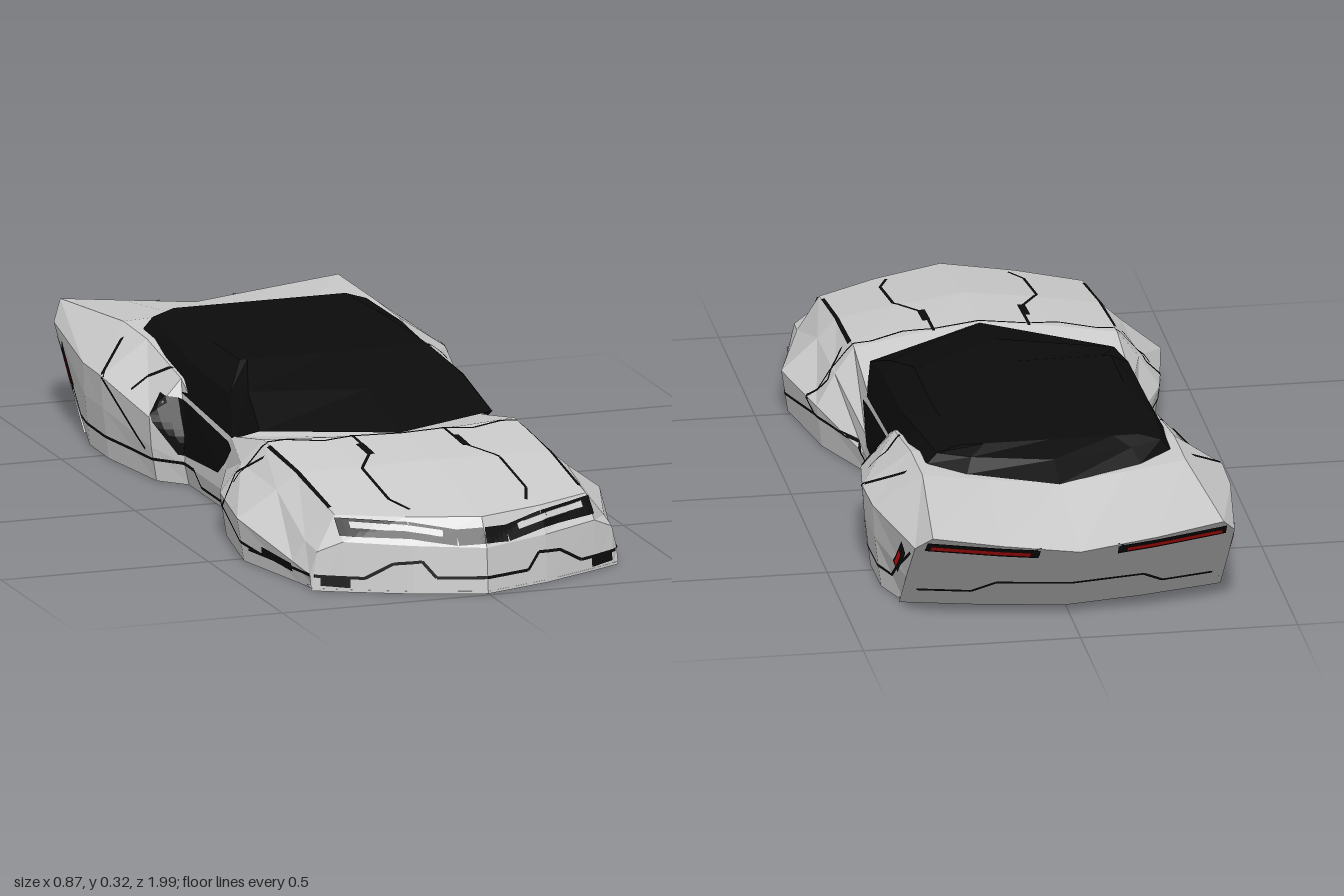
import * as THREE from 'three';

const mat = (color) => new THREE.MeshStandardMaterial({ color, flatShading: true, side: THREE.DoubleSide });
const grey = mat(0xcccccc), black = mat(0x0c0c0c), red = mat(0xcc1111);

// Half row of points, then its mirror image
const mirrorRow = (half) => half.concat(half.slice(0, -1).reverse().map(([x, y, z]) => [-x, y, z]));
const mix = (p, q, t) => p + (q - p) * t;

function meshFrom(name, positions, material, index) {
  const g = new THREE.BufferGeometry();
  g.setAttribute('position', new THREE.Float32BufferAttribute(positions, 3));
  if (index) g.setIndex(index);
  g.computeVertexNormals();
  const mesh = new THREE.Mesh(g, material);
  mesh.name = name;
  return mesh;
}

// Faceted skin stretched over rows of points
function skin(name, halfRows, material) {
  const rows = halfRows.map(mirrorRow), n = rows[0].length, index = [];
  for (let i = 0; i < rows.length - 1; i++)
    for (let j = 0; j < n - 1; j++) {
      const a = i * n + j, c = a + n;
      index.push(a, c, a + 1, a + 1, c, c + 1);
    }
  return meshFrom(name, rows.flat(2), material, index);
}

// One body section, sill to centre; dz sweeps the centre into a V, the tail leans back with height
function section(z, dz, hipX, hipY, shoulderX, shoulderY, crestY, centreY) {
  const tail = z < -0.7, crestX = tail ? 0.335 : 0.303;
  const points = [[hipX * 0.965, 0], [hipX, hipY], [shoulderX, shoulderY], [crestX, crestY],
    [crestX * 0.53, (crestY + centreY) / 2], [0, centreY]];
  return points.map(([x, y]) => [x, y, z + dz * (1 - (x / hipX) ** 1.3) - (tail ? y : 0)]);
}

// Front half: bumper, hood lip, front fender, hood back, door front
const frontRows = [
  section(0.82, 0.16, 0.37, 0.035, 0.355, 0.09, 0.115, 0.105),
  section(0.745, 0.2, 0.385, 0.05, 0.36, 0.1, 0.165, 0.17),
  section(0.515, 0.1, 0.437, 0.1, 0.35, 0.165, 0.205, 0.225),
  section(0.28, 0.12, 0.395, 0.1, 0.35, 0.17, 0.225, 0.235),
  section(0.09, 0.1, 0.316, 0.05, 0.314, 0.1, 0.18, 0.18),
];
// Rear half: door back, rear fender, deck, tail
const rearRows = [
  section(-0.18, 0, 0.316, 0.05, 0.314, 0.1, 0.205, 0.2),
  section(-0.24, 0, 0.375, 0.08, 0.38, 0.15, 0.235, 0.2),
  section(-0.47, 0, 0.41, 0.12, 0.415, 0.195, 0.272, 0.25),
  section(-0.6, -0.1, 0.408, 0.12, 0.412, 0.195, 0.275, 0.263),
  section(-0.71, -0.08, 0.37, 0.1, 0.368, 0.21, 0.25, 0.207),
];
// The nose and tail faces run down to the ground line
const noseRow = frontRows[0].map(([x, , z]) => [x, 0, z + 0.01]);
const tailRow = rearRows[4].map(([x, y, z]) => [x, 0, z + y]);
const bodyRows = [noseRow, ...frontRows, ...rearRows, tailRow];

// Canopy: base outline from front tip to rear tip, drawn in to a flat roof
const canopyBase = [[0, 0.235, 0.395], [0.28, 0.222, 0.23], [0.306, 0.18, 0.12], [0.306, 0.205, -0.23],
  [0.298, 0.25, -0.38], [0.28, 0.274, -0.56], [0.2, 0.27, -0.63], [0, 0.263, -0.71]];
const canopyRoof = canopyBase.map(([x, , z]) => [x * 0.74, 0.315, THREE.MathUtils.clamp(z, -0.56, -0.06)]);
const canopyWaist = canopyBase.map(([x, y, z], i) => [x * 0.92, mix(y, 0.315, 0.6), mix(z, canopyRoof[i][2], 0.5)]);
const canopyTop = canopyBase.map(() => [0, 0.316, -0.3]);

// Details are wrapped on the body along an axis: [where the ray starts, its direction]
const rays = {
  top: (x, z, s) => [[s * x, 2, z], [0, -1, 0]],
  side: (z, y, s) => [[s * 2, y, z], [-s, 0, 0]],
  front: (x, y, s) => [[s * x, y, 2], [0, 0, -1]],
  back: (x, y, s) => [[s * x, y, -2], [0, 0, 1]],
};
const caster = new THREE.Raycaster();
function project(body, view, u, v, s, lift) {
  const [o, d] = rays[view](u, v, s).map((a) => new THREE.Vector3(...a));
  caster.set(o, d);
  const hit = caster.intersectObject(body)[0];
  if (!hit) return null;
  const n = hit.face.normal;
  return hit.point.addScaledVector(n, n.dot(d) > 0 ? -lift : lift).toArray();
}

// Wrapped quad on both sides of the body, from four corners in order
function patch(body, view, lift, [a, b, c, d]) {
  const cells = (p, q) => Math.max(1, Math.ceil(Math.hypot(p[0] - q[0], p[1] - q[1]) / 0.015));
  const nu = cells(a, b), nv = cells(a, d), out = [];
  for (const s of [1, -1]) {
    const at = (i, j) => {
      const [u, v] = [0, 1].map((k) => mix(mix(a[k], b[k], i / nu), mix(d[k], c[k], i / nu), j / nv));
      return project(body, view, u, v, s, lift);
    };
    for (let i = 0; i < nu; i++)
      for (let j = 0; j < nv; j++) {
        const q = [at(i, j), at(i + 1, j), at(i + 1, j + 1), at(i, j + 1)];
        if (q.every(Boolean)) out.push(...[0, 1, 2, 0, 2, 3].flatMap((k) => q[k]));
      }
  }
  return out;
}

// Wrapped band of a given width along a polyline
function band(body, view, width, lift, points) {
  return points.slice(1).flatMap((q, i) => {
    const p = points[i], l = Math.hypot(q[0] - p[0], q[1] - p[1]) / (width / 2);
    const nx = (p[1] - q[1]) / l, ny = (q[0] - p[0]) / l;
    return patch(body, view, lift, [[p[0] + nx, p[1] + ny], [q[0] + nx, q[1] + ny],
      [q[0] - nx, q[1] - ny], [p[0] - nx, p[1] - ny]]);
  });
}

export function createModel() {
  const car = new THREE.Group();
  car.name = 'hoverCar';
  const body = skin('body', bodyRows, grey);
  body.updateMatrixWorld(true);
  car.add(body, skin('canopy', [canopyTop, canopyRoof, canopyWaist, canopyBase], black));

  // Underside: rim, dark channel and inner panel
  const sills = [...frontRows, ...rearRows].map((row) => row[0]);
  const outline = mirrorRow([...noseRow.slice().reverse(), ...sills, ...tailRow]);
  const floor = (name, sx, sz, y, material) => {
    const shape = new THREE.Shape(outline.map(([x, , z]) => new THREE.Vector2(x * sx, z * sz)));
    const mesh = new THREE.Mesh(new THREE.ShapeGeometry(shape).rotateX(Math.PI / 2), material);
    mesh.position.y = y;
    mesh.name = name;
    car.add(mesh);
  };
  floor('floorRim', 1, 1, 0.006, grey);
  floor('floorChannel', 0.95, 0.96, 0.003, black);
  floor('floorPanel', 0.9, 0.92, 0, grey);

  const strip = (name, material, view, width, lift, points) =>
    car.add(meshFrom(name, band(body, view, width, lift, points), material));
  const seam = (name, view, points) => strip(name, black, view, 0.007, 0.002, points);

  // Panel seams
  seam('hoodSeam', 'top', [[0.11, 0.37], [0.11, 0.5], [0.165, 0.6], [0.165, 0.78], [0.14, 0.85]]);
  seam('cowlSeam', 'top', [[0, 0.405], [0.11, 0.38], [0.18, 0.385], [0.26, 0.34], [0.38, 0.335]]);
  seam('hoodEdgeSeam', 'top', [[0.305, 0.36], [0.3, 0.76]]);
  seam('rearFenderSeam', 'top', [[0.3, -0.3], [0.34, -0.36], [0.38, -0.36]]);
  seam('frontSillSeam', 'side', [[0.82, 0.035], [0.6, 0.035], [0.3, 0.075], [0.12, 0.07], [0.08, 0.018]]);
  seam('rearSillSeam', 'side', [[0.08, 0.018], [-0.08, 0.018], [-0.11, 0.052], [-0.67, 0.052], [-0.88, 0.185]]);
  seam('frontFenderSeam', 'side', [[0.38, 0.2], [0.31, 0.15], [0.35, 0.1], [0.3, 0.075]]);
  seam('doorSeam', 'side', [[-0.56, 0.255], [-0.38, 0.14], [-0.27, 0.07]]);
  seam('bumperSeam', 'front', [[0.42, 0.035], [0.26, 0.033], [0.2, 0.068], [0.14, 0.074], [0.11, 0.037], [0, 0.037]]);
  seam('tailSeam', 'back', [[0.34, 0.055], [0.22, 0.055], [0.17, 0.09], [0, 0.09]]);

  // Side windows
  const windowCorners = [[0.15, 0.162], [-0.27, 0.198], [-0.19, 0.07], [0.05, 0.085]];
  car.add(meshFrom('sideWindows', patch(body, 'side', 0.003, windowCorners), black));

  // Vents and slots
  strip('bumperVent', black, 'front', 0.02, 0.003, [[0.29, 0.02], [0.35, 0.023]]);
  strip('fenderVent', black, 'side', 0.02, 0.003, [[0.74, 0.035], [0.61, 0.045]]);
  strip('hoodSlot', black, 'top', 0.018, 0.003, [[0.115, 0.44], [0.115, 0.52]]);

  // Lamps in dark recesses
  strip('headlampRecess', black, 'front', 0.034, 0.003, [[0, 0.13], [0.06, 0.126], [0.16, 0.14], [0.305, 0.142]]);
  strip('headlamp', grey, 'front', 0.013, 0.006, [[0.09, 0.134], [0.17, 0.144], [0.28, 0.146]]);
  strip('tailLampRecess', black, 'back', 0.03, 0.003, [[0.09, 0.203], [0.345, 0.222]]);
  strip('tailLamp', red, 'back', 0.015, 0.006, [[0.11, 0.205], [0.335, 0.221]]);
  strip('sideLampRecess', black, 'side', 0.03, 0.003, [[-0.74, 0.1], [-0.83, 0.18]]);
  strip('sideLamp', red, 'side', 0.015, 0.006, [[-0.75, 0.11], [-0.805, 0.16]]);
  return car;
}
